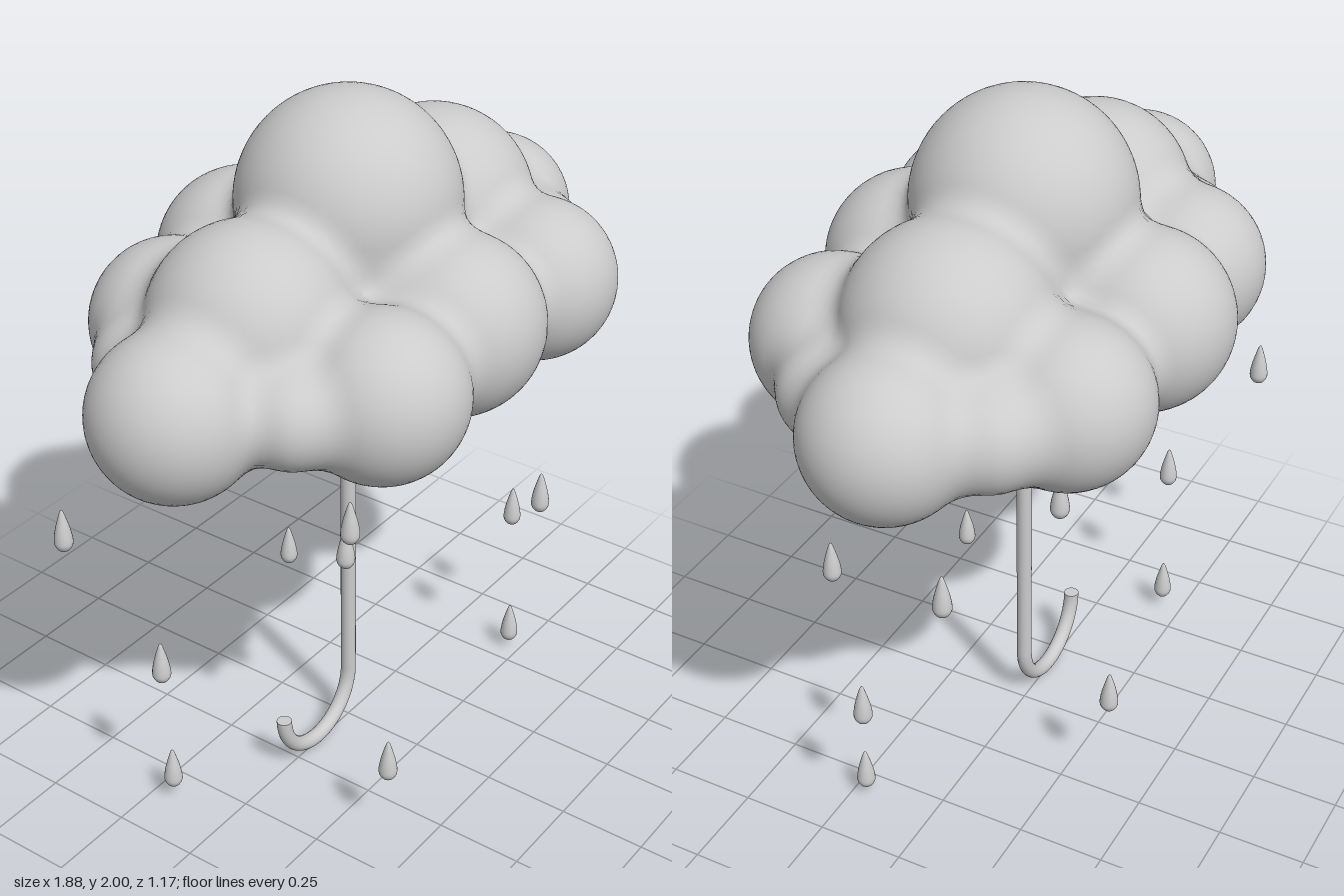
import * as THREE from 'three';

const grey = new THREE.MeshStandardMaterial({ color: 0xcccccc });

// Cloud puffs: x, y, z, radius
const puffs = [
  [0, 1.70, 0, 0.30], [0, 1.45, 0, 0.32],
  [-0.42, 1.515, 0, 0.27], [0.40, 1.535, 0, 0.28],
  [-0.725, 1.40, 0, 0.22], [0.72, 1.40, 0, 0.22],
  [-0.36, 1.405, 0.36, 0.225], [0, 1.44, 0.33, 0.245], [0.40, 1.405, 0.335, 0.225],
  [-0.36, 1.405, -0.30, 0.225], [0, 1.44, -0.345, 0.245], [0.39, 1.405, -0.325, 0.225],
  [-0.57, 1.40, 0.24, 0.13], [0.61, 1.40, 0.22, 0.14],
  [-0.57, 1.40, -0.23, 0.13], [0.60, 1.40, -0.22, 0.145],
];

// Signed distance to the puffs, softly blended where they meet
const blend = 0.07;
function cloudDistance(x, y, z) {
  let d = 10;
  for (const [px, py, pz, r] of puffs) {
    const e = Math.hypot(x - px, y - py, z - pz) - r;
    const h = Math.max(blend - Math.abs(d - e), 0) / blend;
    d = Math.min(d, e) - h * h * blend / 4;
  }
  return d;
}

function cloudGradient([x, y, z]) {
  const e = 0.002;
  return [
    cloudDistance(x + e, y, z) - cloudDistance(x - e, y, z),
    cloudDistance(x, y + e, z) - cloudDistance(x, y - e, z),
    cloudDistance(x, y, z + e) - cloudDistance(x, y, z - e),
  ].map((v) => v / (2 * e));
}

// One smooth skin: a vertex per grid cell the surface crosses, a quad per crossed grid edge
function cloudGeometry() {
  const step = 0.022, origin = [-1.02, 1.05, -0.67], size = [94, 47, 62];
  const stride = [1, size[0], size[0] * size[1]];
  const values = new Float32Array(size[0] * size[1] * size[2]);
  const at = (i, j, k) => i + j * stride[1] + k * stride[2];
  const eachPoint = (visit) => {
    for (let k = 0; k < size[2]; k++)
      for (let j = 0; j < size[1]; j++)
        for (let i = 0; i < size[0]; i++) visit([i, j, k], at(i, j, k));
  };
  eachPoint((c, n) => {
    values[n] = cloudDistance(...c.map((v, a) => origin[a] + v * step));
  });

  const cells = new Map(), sums = [], index = [];
  const addToCell = (cell, point) => {
    if (!cells.has(cell)) {
      cells.set(cell, sums.length);
      sums.push([0, 0, 0, 0]);
    }
    const id = cells.get(cell);
    point.forEach((v, a) => { sums[id][a] += v; });
    sums[id][3]++;
    return id;
  };
  eachPoint((c, n) => {
    for (let a = 0; a < 3; a++) {
      if (c[a] + 1 >= size[a]) continue;
      const f = values[n], g = values[n + stride[a]];
      if ((f < 0) === (g < 0)) continue;
      const point = c.map((v, q) => origin[q] + step * (v + (q === a ? f / (f - g) : 0)));
      const b = stride[(a + 1) % 3], d = stride[(a + 2) % 3];
      const [p, q, r, s] = [n - b - d, n - d, n, n - b].map((cell) => addToCell(cell, point));
      if (f < 0) index.push(p, q, r, p, r, s);
      else index.push(p, r, q, p, s, r);
    }
  });

  // Settle each vertex on the surface and take its normal from the distance field
  const positions = [], normals = [];
  for (const [x, y, z, count] of sums) {
    let p = [x / count, y / count, z / count];
    for (let i = 0; i < 2; i++) {
      const g = cloudGradient(p), f = cloudDistance(...p);
      const l = Math.max(g[0] ** 2 + g[1] ** 2 + g[2] ** 2, 0.3);
      p = p.map((v, a) => v - g[a] * f / l);
    }
    positions.push(...p);
    normals.push(...new THREE.Vector3(...cloudGradient(p)).normalize().toArray());
  }
  const geometry = new THREE.BufferGeometry();
  geometry.setAttribute('position', new THREE.Float32BufferAttribute(positions, 3));
  geometry.setAttribute('normal', new THREE.Float32BufferAttribute(normals, 3));
  geometry.setIndex(index);
  return geometry;
}

// Raindrops: x, bottom y, z
const drops = [
  [-0.727, 0.84, -0.407], [-0.368, 0.934, 0.27], [-0.193, 0.70, 0.13], [0.283, 0.955, -0.254],
  [0.67, 0.85, -0.116], [0.447, 0.632, 0.365], [-0.632, 0.447, -0.172], [0.214, 0.278, -0.38],
  [0.67, 0.378, 0.143], [-0.362, 0.198, 0.394], [-0.59, 0.04, -0.188], [0.568, 0.025, 0.212],
];

function dropGeometry() {
  const profile = new THREE.SplineCurve([
    [0, 0], [0.014, 0.004], [0.024, 0.018], [0.026, 0.034],
    [0.021, 0.066], [0.012, 0.1], [0.005, 0.122], [0, 0.129],
  ].map(([x, y]) => new THREE.Vector2(x, y)));
  const points = profile.getPoints(24);
  points.forEach((p) => { p.x = Math.max(p.x, 0); });
  return new THREE.LatheGeometry(points, 20);
}

export function createModel() {
  const model = new THREE.Group();
  const add = (name, geometry, parent = model) => {
    const mesh = new THREE.Mesh(geometry, grey);
    mesh.name = name;
    parent.add(mesh);
    return mesh;
  };

  add('cloud', cloudGeometry());

  // Umbrella handle: straight shaft and half-ring hook
  const handle = new THREE.Group();
  handle.name = 'handle';
  model.add(handle);
  const tube = 0.022, hookRadius = 0.157, hookY = tube + hookRadius;
  const shaftTop = 1.25;
  const shaft = add('shaft', new THREE.CylinderGeometry(tube, tube, shaftTop - hookY, 20), handle);
  shaft.position.y = (shaftTop + hookY) / 2;
  const hook = add('hook', new THREE.TorusGeometry(hookRadius, tube, 20, 40, Math.PI), handle);
  hook.rotation.z = Math.PI;
  hook.position.set(-hookRadius, hookY, 0);
  const tip = add('hookTip', new THREE.CircleGeometry(tube, 20), handle);
  tip.rotation.x = -Math.PI / 2;
  tip.position.set(-2 * hookRadius, hookY, 0);

  // Rain
  const rain = new THREE.Group();
  rain.name = 'rain';
  model.add(rain);
  const drop = dropGeometry();
  for (const place of drops) add('raindrop', drop, rain).position.set(...place);

  return model;
}
